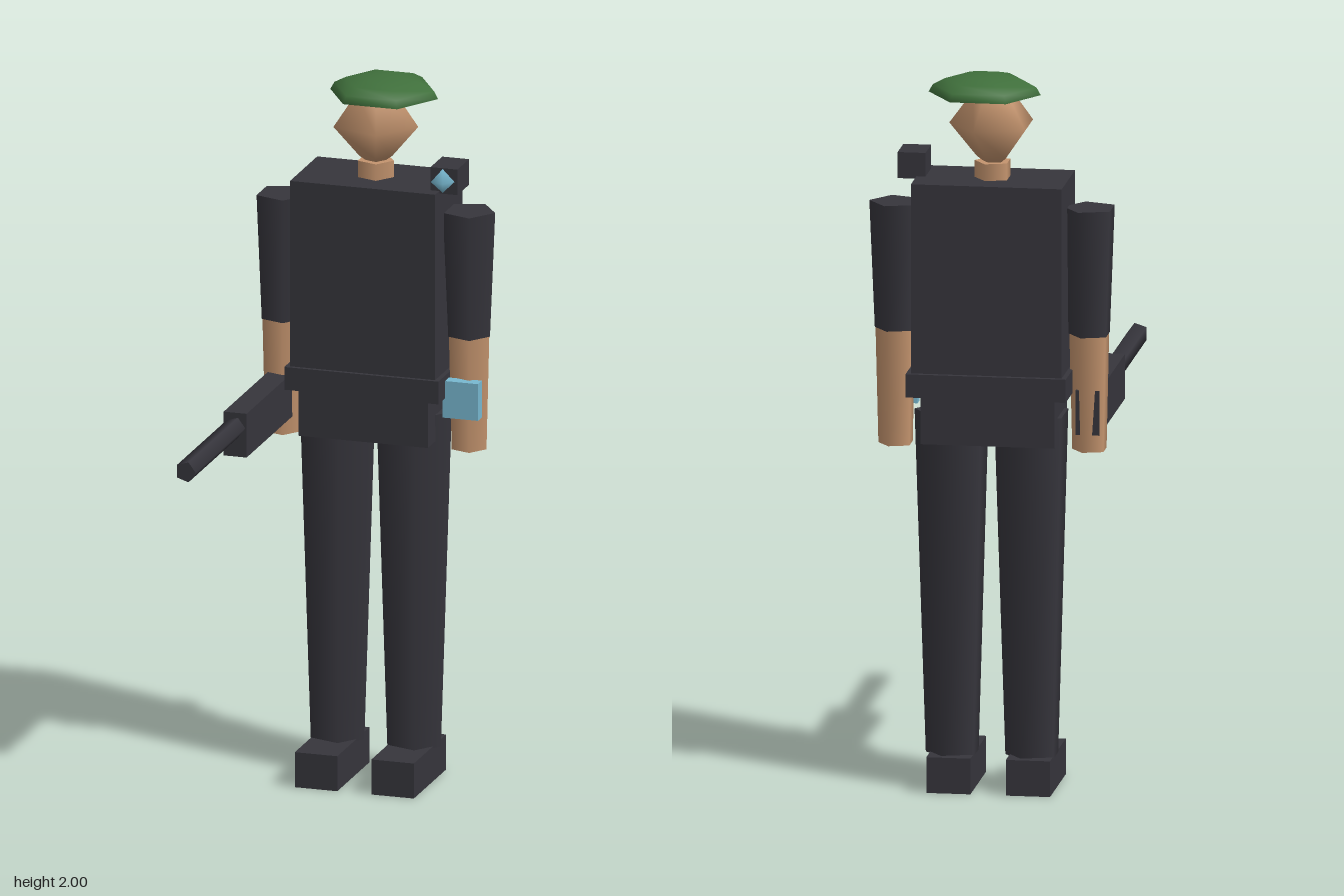
import * as THREE from 'three';

export function createModel() {
  const model = new THREE.Group();
  model.name = 'guardFigure';
  const mat = (name, color) => {
    const m = new THREE.MeshStandardMaterial({ color });
    m.name = name;
    return m;
  };
  const dark = mat('charcoal', 0x36353c);
  const skin = mat('skin', 0xc4946e);
  const green = mat('beretGreen', 0x40703c);
  const blue = mat('screenBlue', 0x78b8d0);

  const CX = -0.01, CZ = -0.365; // body axis

  const add = (name, geo, material, x = 0, y = 0, z = 0) => {
    const mesh = new THREE.Mesh(geo, material);
    mesh.name = name;
    mesh.position.set(x, y, z);
    model.add(mesh);
    return mesh;
  };
  // Box from its min and max on each axis
  const box = (name, material, [x0, x1], [y0, y1], [z0, z1]) =>
    add(name, new THREE.BoxGeometry(x1 - x0, y1 - y0, z1 - z0), material,
      (x0 + x1) / 2, (y0 + y1) / 2, (z0 + z1) / 2);
  // Five-sided upright tube with one corner toward +x
  const limb = (name, material, x, y0, y1, rBottom, rTop) =>
    add(name, new THREE.CylinderGeometry(rTop, rBottom, y1 - y0, 5, 1, false, Math.PI / 2),
      material, x, (y0 + y1) / 2, CZ);

  // Trunk
  box('torso', dark, [-0.217, 0.2], [1.17, 1.71], [-0.483, -0.243]);
  box('belt', dark, [-0.23, 0.213], [1.115, 1.18], [-0.497, -0.232]);
  box('hips', dark, [-0.196, 0.175], [0.98, 1.12], [-0.473, -0.255]);

  // Legs, feet and arms
  for (const [side, s] of [['left', 1], ['right', -1]]) {
    const lx = CX + s * 0.11, ax = CX + s * 0.268;
    limb(side + 'Leg', dark, lx, 0.095, 1.055, 0.077, 0.108);
    box(side + 'Foot', dark, [lx - 0.061, lx + 0.061], [0, 0.1], [-0.46, -0.175]);
    limb(side + 'UpperArm', dark, ax, 1.28, 1.635, 0.06, 0.075);
    limb(side + 'Forearm', skin, ax, 0.957, 1.28, 0.05, 0.058);
  }

  // Neck and faceted head
  limb('neck', skin, CX, 1.7, 1.757, 0.052, 0.052);
  const profile = [[0, 1.735], [0.047, 1.77], [0.122, 1.86], [0.056, 1.95], [0, 1.975]]
    .map(([r, y]) => new THREE.Vector2(r, y));
  add('head', new THREE.LatheGeometry(profile, 5, Math.PI / 2), skin, CX, 0, CZ);

  // Beret: flattened six-sided dome with a flat underside
  const dome = add('beret',
    new THREE.SphereGeometry(1, 6, 4, 0, Math.PI * 2, 0, Math.PI / 2), green, 0.014, 1.945, CZ);
  dome.scale.set(0.155, 0.055, 0.145);
  const under = add('beretUnderside', new THREE.CircleGeometry(1, 6), green, 0.014, 1.945, CZ);
  under.rotation.x = Math.PI / 2;
  under.scale.set(0.155, 0.145, 1);

  // Shoulder lamp
  box('lampHousing', dark, [0.175, 0.252], [1.703, 1.776], [-0.383, -0.28]);
  const lens = add('lampLens', new THREE.SphereGeometry(0.034, 5, 2), blue, 0.211, 1.741, -0.276);
  lens.rotation.y = Math.PI;

  // Wrist screen
  box('wristScreen', blue, [0.206, 0.308], [1.06, 1.165], [-0.325, -0.29]);

  // Rifle held in the right hand
  box('rifleBody', dark, [-0.309, -0.243], [1.005, 1.13], [-0.405, 0.06]);
  const barrel = add('rifleBarrel',
    new THREE.CylinderGeometry(0.03, 0.03, 0.447, 5, 1, false, Math.PI / 2),
    dark, -0.277, 1.088, 0.2735);
  barrel.rotation.x = Math.PI / 2;

  return model;
}
